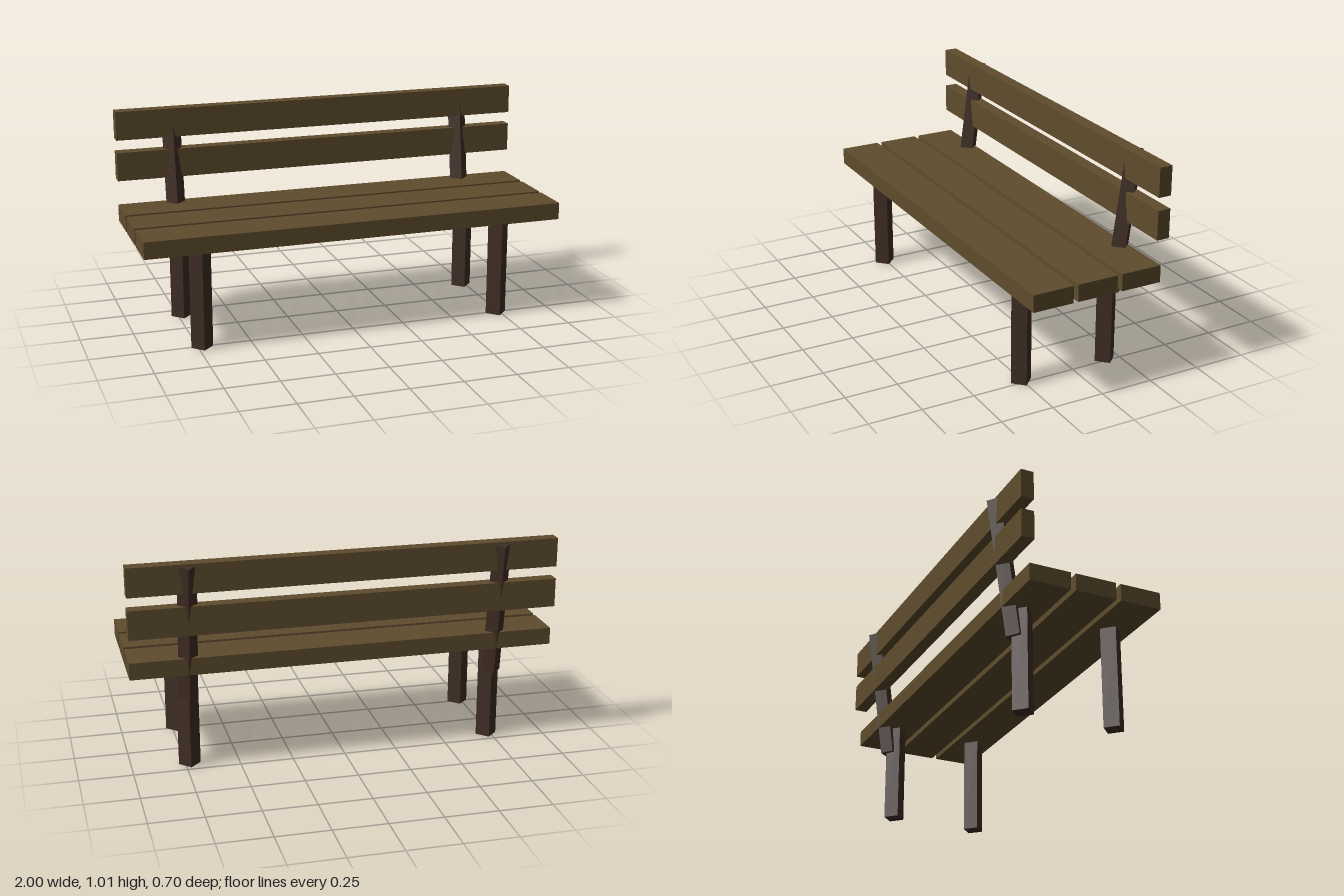
import * as THREE from 'three';

export function createModel() {
  const bench = new THREE.Group();
  bench.name = 'bench';

  const plankWood = new THREE.MeshStandardMaterial({ color: 0x5e4c2d });
  plankWood.name = 'plank wood';
  const postWood = new THREE.MeshStandardMaterial({ color: 0x3f2d24 });
  postWood.name = 'dark post wood';

  // Full-width board given its height and depth centre and size
  function plank(name, y, z, height, depth) {
    const mesh = new THREE.Mesh(new THREE.BoxGeometry(2, height, depth), plankWood);
    mesh.name = name;
    mesh.position.set(0, y, z);
    bench.add(mesh);
  }

  // Four-sided post with its corners facing front, back and sides
  function post(name, x, y, z, radius, length, tilt = 0) {
    const geometry = new THREE.CylinderGeometry(radius, radius, length, 4).toNonIndexed();
    geometry.computeVertexNormals();
    const mesh = new THREE.Mesh(geometry, postWood);
    mesh.name = name;
    mesh.position.set(x, y, z);
    mesh.rotation.x = tilt;
    bench.add(mesh);
  }

  // Seat slats
  [0.255, 0.038, -0.18].forEach((z, i) => plank(`seatSlat${i + 1}`, 0.515, z, 0.08, 0.194));

  // Backrest boards
  plank('lowerBackBoard', 0.743, -0.282, 0.136, 0.061);
  plank('upperBackBoard', 0.939, -0.282, 0.136, 0.061);

  // Legs and leaning back supports, mirrored left and right
  for (const [side, x] of [['left', 0.73], ['right', -0.73]]) {
    post(`${side}FrontLeg`, x, 0.25, 0.255, 0.051, 0.5);
    post(`${side}BackLeg`, x, 0.25, -0.18, 0.051, 0.5);
    post(`${side}BackSupport`, x, 0.67, -0.259, 0.045, 0.658, -0.137);
  }

  return bench;
}
